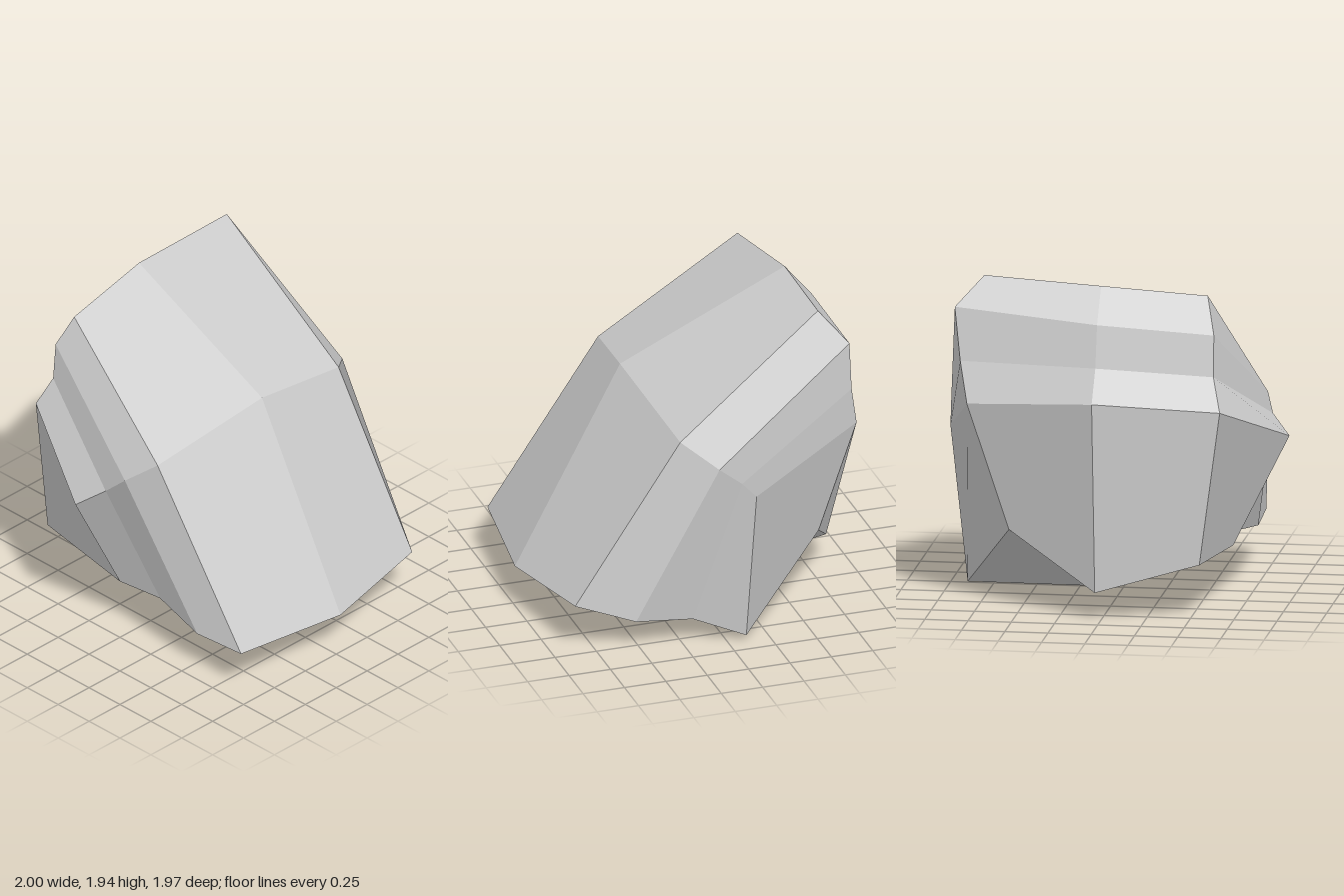
import * as THREE from 'three';

export function createModel() {
  const group = new THREE.Group();
  const stone = new THREE.MeshStandardMaterial({ color: 0xcbcbcb });
  stone.name = 'greyStone';

  // Three ten-sided rings, clockwise from the peak as seen from the front
  const front = [
    [-0.55, 1.85, 0.57], [0.25, 1.26, 0.695], [0.92, 0.28, 0.69], [0.57, 0.26, 0.695], [0.21, 0.31, 0.635],
    [-0.1, 0.29, 0.65], [-0.78, 0.32, 0.555], [-0.76, 1.21, 0.67], [-0.67, 1.4, 0.62], [-0.65, 1.64, 0.62],
  ];
  const middle = [
    [-0.63, 1.905], [0.365, 1.44], [1, 0.25], [0.66, 0.13], [0.31, 0.11],
    [0.01, 0], [-0.88, 0.16], [-1, 1.29], [-0.855, 1.47], [-0.79, 1.71],
  ].map(([x, y]) => [x, y, -0.035]);
  const back = [
    [-0.6, 1.94, -0.715], [0.25, 1.26, -0.77], [0.875, 0.3, -0.74], [0.53, 0.18, -0.81], [0.19, 0.15, -0.82],
    [-0.11, 0.03, -0.885], [-0.655, 0.465, -0.565], [-0.81, 1.23, -0.785], [-0.765, 1.47, -0.83], [-0.74, 1.78, -0.865],
  ];
  // Short ridges standing out of the front and back
  const frontRidge = [[-0.13, 0.95, 0.98], [0, 1.05, 0.865], [0.11, 1.15, 0.82]];
  const backRidge = [[-0.14, 0.95, -0.98], [-0.05, 1.05, -0.99], [0.08, 1.15, -0.97]];

  // One facet: two triangles meeting along a-c, shaded with a single normal
  const positions = [];
  const normals = [];
  const vector = (from, to) => new THREE.Vector3(...to).sub(new THREE.Vector3(...from));
  const quad = (a, b, c, d) => {
    const n = vector(a, c).cross(vector(b, d)).normalize().toArray();
    for (const p of [a, b, c, a, c, d]) {
      positions.push(...p);
      normals.push(...n);
    }
  };

  // Bands around the sides; the top and left slopes fold along the other diagonal
  const band = (near, far) => near.forEach((p, i) => {
    const j = (i + 1) % near.length;
    if (i < 2) quad(near[j], far[j], far[i], p);
    else quad(p, near[j], far[j], far[i]);
  });
  band(front, middle);
  band(middle, back);

  // Seven facets close each end around its ridge
  const cap = (r, [p, q, s]) => [
    [r[7], r[6], r[5], p], [p, r[5], r[4], q], [q, r[4], r[3], s], [s, r[3], r[2], r[1]],
    [r[8], r[7], p, q], [r[9], r[8], q, s], [r[0], r[9], s, r[1]],
  ];
  cap(front, frontRidge).forEach((f) => quad(...f));
  cap(back, backRidge).forEach(([a, b, c, d]) => quad(a, d, c, b));

  const geometry = new THREE.BufferGeometry();
  geometry.setAttribute('position', new THREE.Float32BufferAttribute(positions, 3));
  geometry.setAttribute('normal', new THREE.Float32BufferAttribute(normals, 3));

  const rock = new THREE.Mesh(geometry, stone);
  rock.name = 'rock';
  group.add(rock);
  return group;
}
